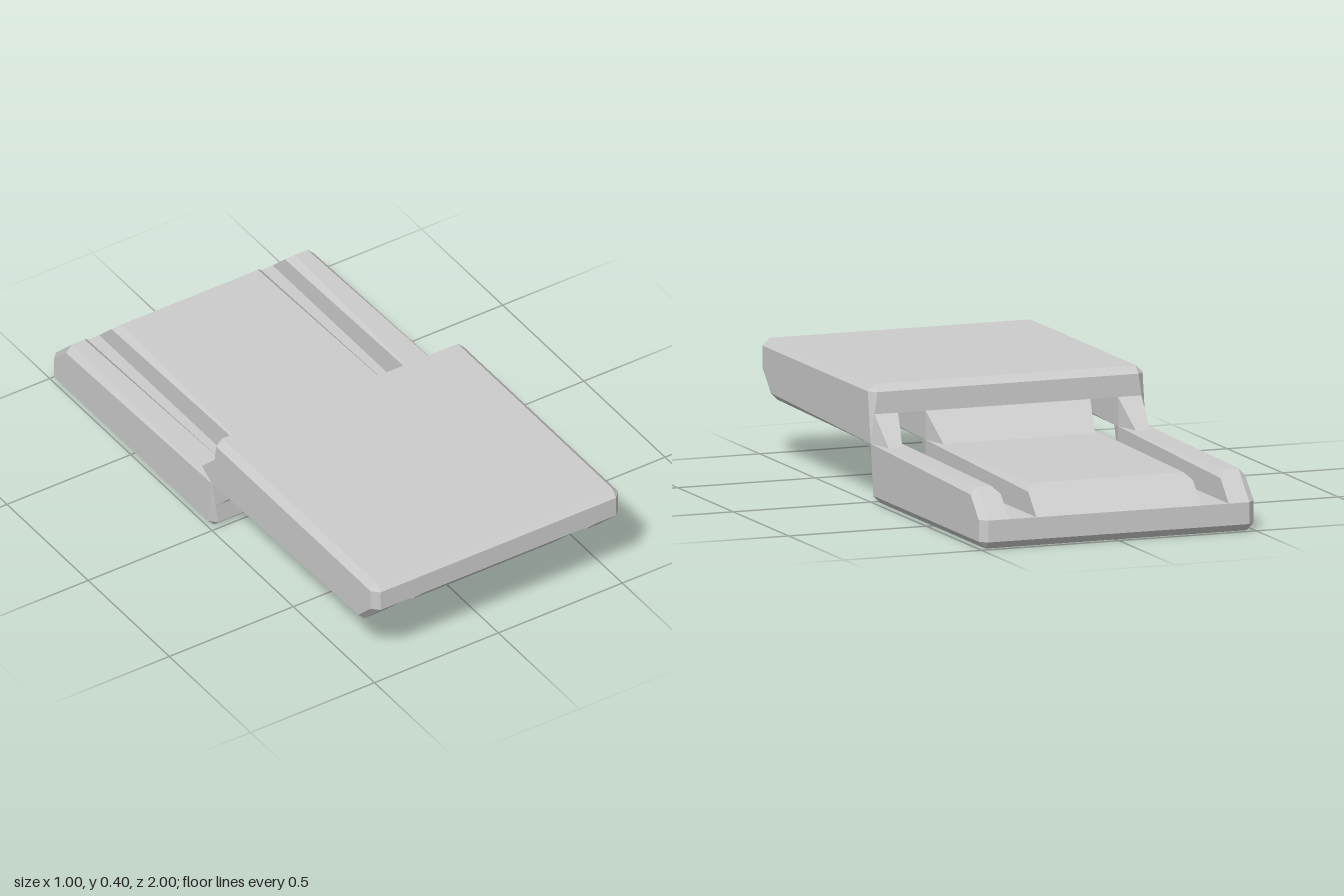
import * as THREE from 'three';
import { ConvexGeometry } from 'three/addons/geometries/ConvexGeometry.js';

const material = new THREE.MeshStandardMaterial({ color: 0xcccccc, flatShading: true });
const B = 0.025; // bevel width

// Convex block from a few corner points
function block(name, points) {
  const mesh = new THREE.Mesh(
    new ConvexGeometry(points.map((p) => new THREE.Vector3(...p))), material);
  mesh.name = name;
  return mesh;
}

// Repeat corner points on both sides of x = 0
const mirrored = (points) => points.flatMap(([x, y, z]) => [[x, y, z], [-x, y, z]]);

function createHalf(name) {
  const half = new THREE.Group();
  half.name = name;

  // Full-width plate with bevelled edges
  half.add(block('basePlate', mirrored([
    [0.5 - B, 0, -B], [0.5 - B, 0, -1 + B],
    [0.5, B, -B], [0.5, B, -1 + B],
    [0.5 - B, B, 0], [0.5 - B, B, -1],
    [0.486, 0.1, 0], [0.5, 0.1, -0.014],
    [0.5, 0.1, -1 + B], [0.5 - B, 0.1, -1],
  ])));

  // Wide middle ridge, its top bevel growing towards the sloped end
  half.add(block('centreRidge', mirrored([
    [0.3, 0.1, 0], [0.3, 0.1, -1], [0.3, 0.2, 0],
    [0.3 - B, 0.2, -0.9], [0.3, 0.2 - B, -0.9 - B],
  ])));

  // Wedge joining the middle ridge to the other half
  half.add(block('centreWedge', mirrored([
    [0.3, 0.1, 0], [0.3, 0.2, 0], [0.3 - B, 0.2, 0.1], [0.3 - B, 0.1, 0],
  ])));

  // Side rails and their wedges
  for (const s of [1, -1]) {
    const side = s > 0 ? 'left' : 'right';
    const flip = (points) => points.map(([x, y, z]) => [s * x, y, z]);
    half.add(block(side + 'Rail', flip([
      [0.4, 0.1, 0], [0.486, 0.1, 0], [0.5, 0.1, -0.014],
      [0.5, 0.1, -1 + B], [0.5 - B, 0.1, -1], [0.4, 0.1, -1],
      [0.4, 0.2, 0], [0.5, 0.2, 0],
      [0.4 + B, 0.2, -0.9], [0.5 - B, 0.2, -0.9],
      [0.4, 0.2 - B, -0.9 - B], [0.5, 0.2 - B, -0.9],
    ])));
    half.add(block(side + 'Wedge', flip([
      [0.4, 0.1, 0], [0.4, 0.2, 0], [0.486, 0.1, 0], [0.5, 0.2, 0],
      [0.4 + B, 0.2, 0.1], [0.5 - B, 0.2, 0.1],
    ])));
  }
  return half;
}

export function createModel() {
  const model = new THREE.Group();
  model.name = 'steppedPlates';
  const lower = createHalf('lowerHalf');
  // The upper half is the lower one turned over about the centre line
  const upper = createHalf('upperHalf');
  upper.rotation.x = Math.PI;
  upper.position.y = 0.4;
  model.add(lower, upper);
  return model;
}
